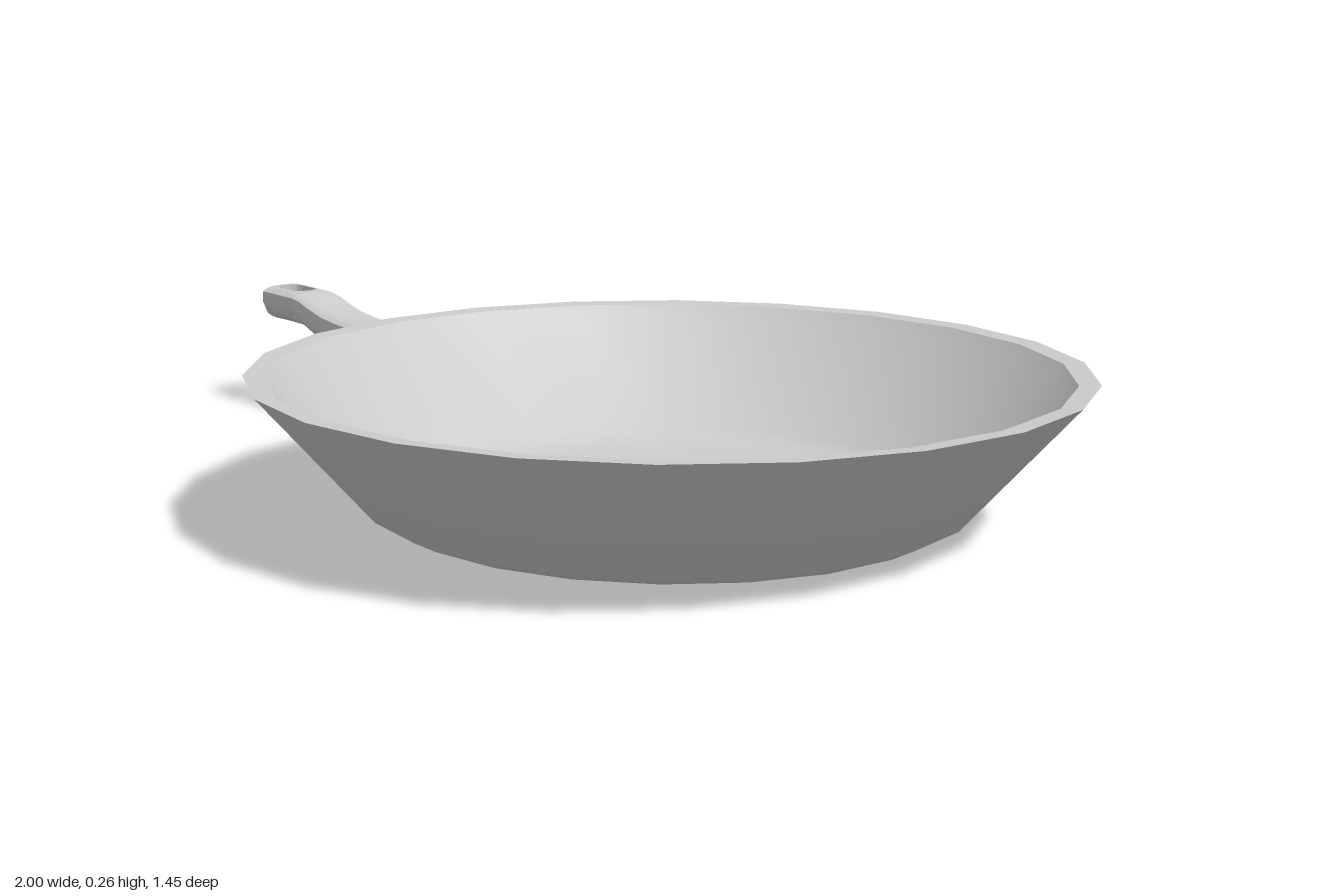
import * as THREE from 'three';
import { toCreasedNormals } from 'three/addons/utils/BufferGeometryUtils.js';

const material = new THREE.MeshStandardMaterial({ color: 0xcccccc });
const PAN_X = 0.28;

function addMesh(group, name, geometry, crease) {
  const mesh = new THREE.Mesh(toCreasedNormals(geometry, crease), material);
  mesh.name = name;
  group.add(mesh);
  return mesh;
}

// Skin a series of closed rings; either cap both ends or join last ring to first
function loft(rings, joined) {
  const n = rings[0].length;
  const positions = rings.flat(2);
  const index = [];
  const last = joined ? rings.length : rings.length - 1;
  for (let i = 0; i < last; i++) {
    const k = (i + 1) % rings.length;
    for (let j = 0; j < n; j++) {
      const a = i * n + j, b = i * n + (j + 1) % n;
      const c = k * n + (j + 1) % n, d = k * n + j;
      index.push(a, b, d, b, c, d);
    }
  }
  if (!joined) {
    const end = (rings.length - 1) * n;
    for (let j = 1; j < n - 1; j++) {
      index.push(0, j + 1, j, end, end + j, end + j + 1);
    }
  }
  const geometry = new THREE.BufferGeometry();
  geometry.setAttribute('position', new THREE.Float32BufferAttribute(positions, 3));
  geometry.setIndex(index);
  return geometry;
}

// D-shaped bar: nearly flat top, rounded underside (t runs -1..1 across the width)
const topY = (top, t) => top - 0.01 * t ** 4;
const bottomY = (top, h, t) => top - h * (0.45 + 0.55 * Math.sqrt(Math.max(0, 1 - t * t)));

function section(xAt, top, h, w, steps = 12) {
  const ring = [];
  for (const side of [1, -1]) {
    for (let i = 0; i <= steps; i++) {
      const t = side * Math.sin((i / steps - 0.5) * Math.PI);
      const y = side > 0 ? topY(top, t) : bottomY(top, h, t);
      ring.push([xAt(y), y, t * w]);
    }
  }
  return ring;
}

// Handle tip with a slot: rings run from the slot over the top, round and underneath
function handleTip(w, top, h) {
  const N = 48, M = 5;
  const upper = [], lower = [];
  for (let m = 0; m <= M; m++) {
    const over = [], under = [];
    for (let j = 0; j < N; j++) {
      const a = (j / N) * Math.PI * 2, c = Math.cos(a), s = Math.sin(a);
      const edge = 1 / Math.max(Math.abs(c), Math.abs(s));
      const shift = Math.abs(c) < 1e-6 ? 0 : Math.sign(c) * 0.02;
      const x = THREE.MathUtils.lerp(-0.944 + shift + 0.027 * c, -0.94 + 0.06 * c * edge, m / M);
      const z = THREE.MathUtils.lerp(0.027 * s, w * s * edge, m / M);
      over.push([x, topY(top, z / w), z]);
      under.push([x, bottomY(top, h, z / w), z]);
    }
    upper.push(over);
    lower.unshift(under);
  }
  return loft([...upper, ...lower], true);
}

export function createModel() {
  const model = new THREE.Group();
  model.name = 'fryingPan';

  // Pan bowl: outer wall, rim, inner wall
  const profile = [
    [0, 0], [0.38, 0], [0.43, 0.005], [0.485, 0.018], [0.528, 0.04],
    [0.727, 0.264], [0.69, 0.262], [0.676, 0.245],
    [0.505, 0.052], [0.47, 0.035], [0.42, 0.027], [0, 0.025],
  ].map(([r, y]) => new THREE.Vector2(r, y));
  const bowl = addMesh(model, 'bowl', new THREE.LatheGeometry(profile, 22), 0.55);
  bowl.position.x = PAN_X;

  // Handle
  const handle = new THREE.Group();
  handle.name = 'handle';
  model.add(handle);
  const W = 0.051;
  const grip = [
    [-0.88, 0.25, 0.072], [-0.855, 0.246, 0.074], [-0.815, 0.235, 0.077],
    [-0.77, 0.225, 0.077], [-0.72, 0.219, 0.075], [-0.65, 0.215, 0.075], [-0.46, 0.21, 0.079],
  ].map(([x, top, h]) => section(() => x, top, h, W));
  addMesh(handle, 'grip', loft(grip, false), 0.6);
  addMesh(handle, 'slottedTip', handleTip(W, 0.25, 0.072), 0.6);

  // Neck, its end slanted to sit inside the sloping wall
  const wallX = (y) => PAN_X - 0.99 * (0.528 + (y - 0.04) * 0.888) + 0.015;
  const neck = [
    section(() => -0.47, 0.207, 0.062, 0.043),
    section(wallX, 0.207, 0.062, 0.043),
  ];
  addMesh(handle, 'neck', loft(neck, false), 0.6);

  return model;
}
